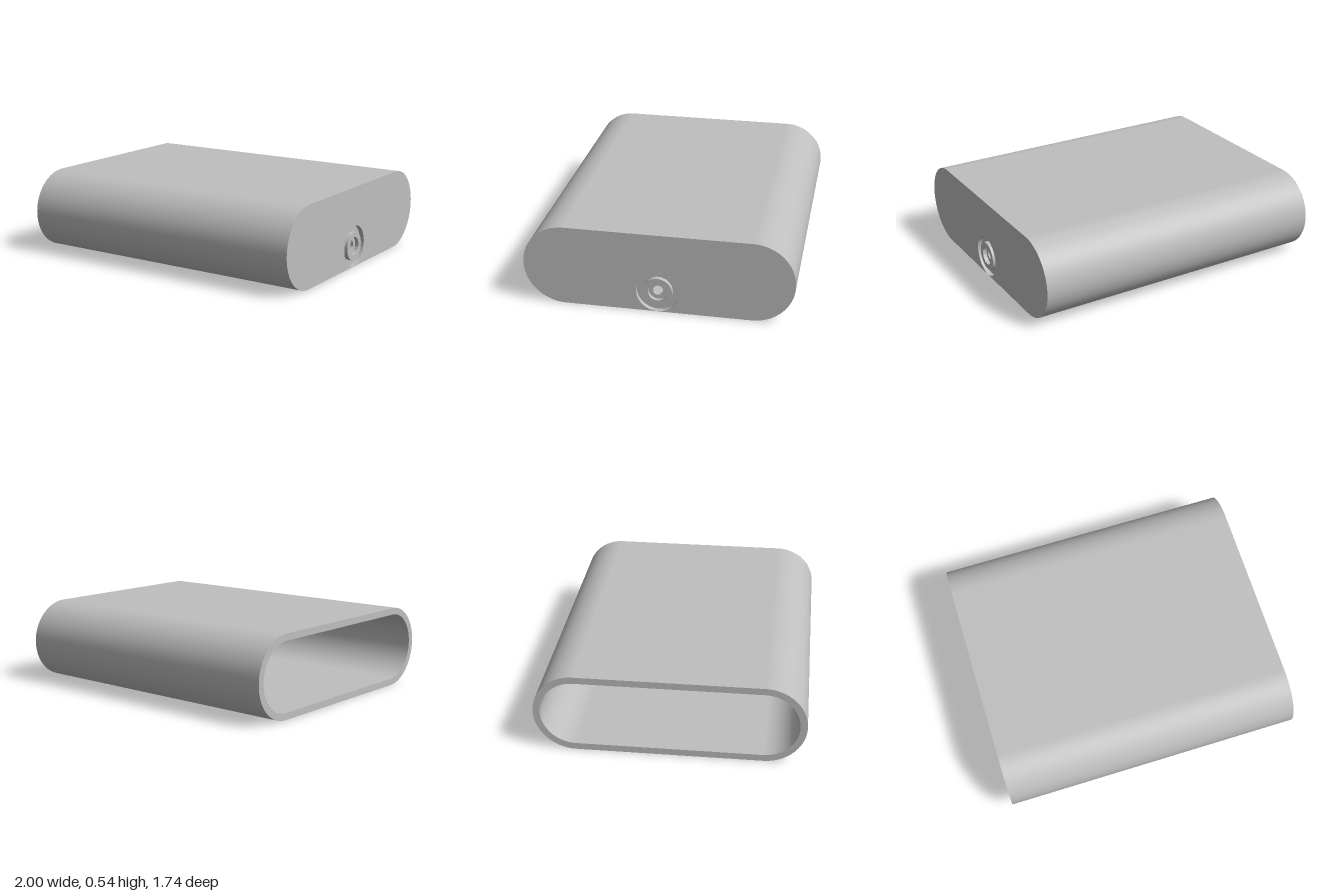
import * as THREE from 'three';
import { toCreasedNormals } from 'three/addons/utils/BufferGeometryUtils.js';

const R = 0.27;          // outer radius of the rounded sides, half the height
const WALL = 0.045;
const HALF = 0.6;        // half width of the flat top and bottom
const INNER_X = 1 - WALL;
const PORT_Y = 0.14;
const HOLE = { x: 0.88, z: 0.3, r: 0.063 };

// Stadium outline in the end plane
function stadium(r) {
  const s = new THREE.Shape();
  s.absarc(HALF, R, r, -Math.PI / 2, Math.PI / 2);
  s.absarc(-HALF, R, r, Math.PI / 2, Math.PI * 1.5);
  s.closePath();
  return s;
}

function withCircle(shape, x, y, r) {
  const hole = new THREE.Path();
  hole.absarc(x, y, r, 0, Math.PI * 2, true);
  shape.holes.push(hole);
  return shape;
}

function rect(x0, x1) {
  return new THREE.Shape([[x0, -HALF], [x1, -HALF], [x1, HALF], [x0, HALF]].map(p => new THREE.Vector2(...p)));
}

// Smooth skin over both rounded sides and the top; swapping x0 and x1 faces it inward
function skin(r, x0, x1) {
  const n = 32, rows = 2 * n + 1;
  const g = new THREE.PlaneGeometry(1, 1, 1, rows);
  const sign = Math.sign(x1 - x0);
  for (let i = 0; i < g.attributes.position.count; i++) {
    const k = rows - Math.floor(i / 2);
    const far = k > n;
    const a = -Math.PI / 2 + Math.PI * (far ? k - 1 : k) / n;
    const c = Math.cos(a), s = Math.sin(a);
    g.attributes.position.setXYZ(i, i % 2 ? x1 : x0, R + r * s, (far ? -HALF : HALF) + r * c);
    g.attributes.normal.setXYZ(i, 0, s * sign, c * sign);
  }
  return g;
}

export function createModel() {
  const group = new THREE.Group();
  const grey = new THREE.MeshStandardMaterial({ color: 0xbfbfbf, side: THREE.DoubleSide });
  grey.name = 'grey';
  const add = (name, geometry) => {
    const m = new THREE.Mesh(geometry, grey);
    m.name = name;
    group.add(m);
    return m;
  };
  const flat = shape => new THREE.ShapeGeometry(shape, 32);

  // Sleeve walls
  add('outerSkin', skin(R, -1, 1));
  add('innerSkin', skin(R - WALL, INNER_X, -1));

  // Bottom plate with its round hole
  add('bottom', flat(withCircle(rect(-1, 1), HOLE.x, HOLE.z, HOLE.r)).rotateX(Math.PI / 2));
  add('innerFloor', flat(withCircle(rect(-1, INNER_X), HOLE.x, -HOLE.z, HOLE.r)).rotateX(-Math.PI / 2))
    .position.y = WALL;
  add('bottomHole', new THREE.CylinderGeometry(HOLE.r, HOLE.r, WALL, 40, 1, true))
    .position.set(HOLE.x, WALL / 2, HOLE.z);

  // Rim of the open end
  const rim = stadium(R);
  rim.holes.push(stadium(R - WALL));
  add('openRim', flat(rim).rotateY(-Math.PI / 2)).position.x = -1;

  // Closed end, outside and inside
  add('endWall', flat(withCircle(stadium(R), 0, PORT_Y, 0.138)).rotateY(Math.PI / 2)).position.x = 1;
  add('innerEndWall', flat(withCircle(stadium(R - WALL), 0, PORT_Y, 0.033)).rotateY(-Math.PI / 2))
    .position.x = INNER_X;

  // Round socket: sunken groove, flush collar and stepped bore
  const profile = [[0.138, 1], [0.138, 0.97], [0.095, 0.97], [0.095, 1], [0.06, 1], [0.06, 0.975],
    [0.033, 0.975], [0.033, INNER_X]].map(p => new THREE.Vector2(...p));
  const socket = new THREE.LatheGeometry(profile, 48).rotateZ(-Math.PI / 2);
  add('socket', toCreasedNormals(socket, 0.6)).position.y = PORT_Y;

  return group;
}
